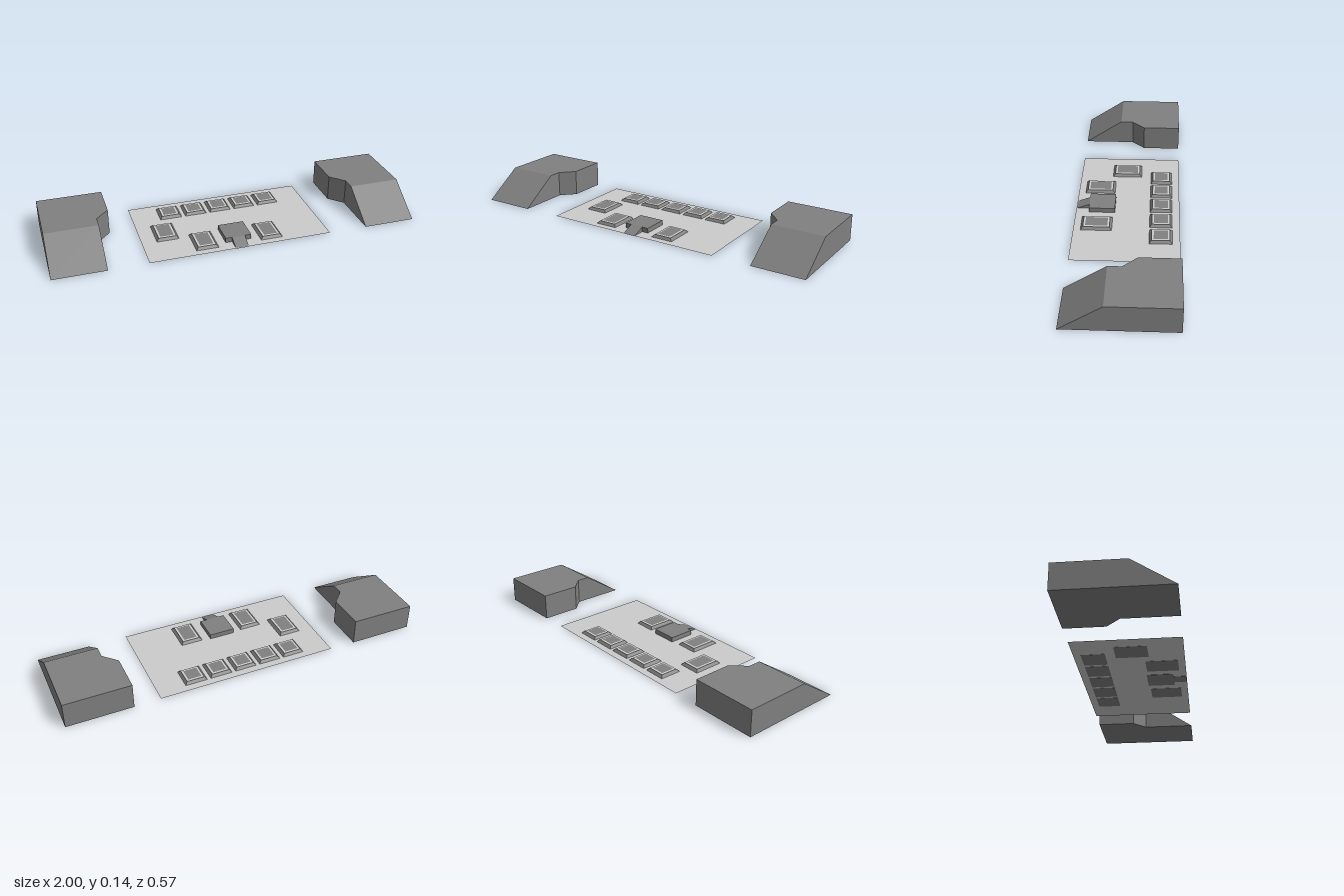
import * as THREE from 'three';

const dark = new THREE.MeshStandardMaterial({ color: 0x808080, flatShading: true });
const light = new THREE.MeshStandardMaterial({ color: 0xc0c0c0, side: THREE.DoubleSide });

function add(parent, name, geometry, material = dark) {
  const mesh = new THREE.Mesh(geometry, material);
  mesh.name = name;
  parent.add(mesh);
  return mesh;
}

// Upright prism from an [x, z] footprint
function prism(points, height) {
  const shape = new THREE.Shape(points.map(([x, z]) => new THREE.Vector2(x, -z)));
  return new THREE.ExtrudeGeometry(shape, { depth: height, bevelEnabled: false }).rotateX(-Math.PI / 2);
}

// Wedge falling from full height at z0 to the ground at z1
function wedge(x0, x1, z0, z1, height) {
  const shape = new THREE.Shape([
    new THREE.Vector2(-z1, 0), new THREE.Vector2(-z0, 0), new THREE.Vector2(-z0, height),
  ]);
  return new THREE.ExtrudeGeometry(shape, { depth: x1 - x0, bevelEnabled: false })
    .rotateY(Math.PI / 2).translate(x0, 0, 0);
}

// Box whose top is inset on all sides
function taperedSlab(w, d, h, inset) {
  const geometry = new THREE.BoxGeometry(w, h, d).translate(0, h / 2, 0);
  const p = geometry.attributes.position;
  for (let i = 0; i < p.count; i++) {
    if (p.getY(i) > h / 2) {
      p.setX(i, p.getX(i) - Math.sign(p.getX(i)) * inset);
      p.setZ(i, p.getZ(i) - Math.sign(p.getZ(i)) * inset);
    }
  }
  geometry.computeVertexNormals();
  return geometry;
}

// Flat rectangular outline
function outline(w, d, t) {
  const rect = (a, b) => [[-a, -b], [a, -b], [a, b], [-a, b]].map(([x, y]) => new THREE.Vector2(x, y));
  const shape = new THREE.Shape(rect(w / 2, d / 2));
  shape.holes.push(new THREE.Path(rect(w / 2 - t, d / 2 - t).reverse()));
  return new THREE.ShapeGeometry(shape).rotateX(-Math.PI / 2);
}

// Dark bevelled tile with a pale line inlaid on top
function tile(x, z, w, d) {
  const group = new THREE.Group();
  group.name = 'tile';
  add(group, 'tileSlab', taperedSlab(w, d, 0.015, 0.014));
  add(group, 'tileOutline', outline(w - 0.033, d - 0.033, 0.009), light).position.y = 0.0165;
  group.position.set(x, 0, z);
  return group;
}

export function createModel() {
  const model = new THREE.Group();
  model.name = 'boardLayout';

  // Floor sheet, just above the undersides of the tiles
  add(model, 'floor', new THREE.PlaneGeometry(1, 0.57).rotateX(-Math.PI / 2), light).position.y = 0.0015;

  // Side platforms with a chamfered inner corner and a front ramp
  for (const s of [1, -1]) {
    const side = new THREE.Group();
    side.name = s > 0 ? 'leftPlatform' : 'rightPlatform';
    const footprint = [[1, -0.286], [0.643, -0.286], [0.643, -0.073], [0.714, 0], [0.714, 0.071], [1, 0.071]];
    add(side, 'platformBlock', prism(footprint.map(([x, z]) => [s * x, z]), 0.143));
    add(side, 'platformRamp', wedge(s > 0 ? 0.714 : -1, s > 0 ? 1 : -0.714, 0.071, 0.286, 0.143));
    model.add(side);
  }

  // Back row of square tiles
  for (let i = -2; i <= 2; i++) model.add(tile(i * 0.143, -0.183, 0.125, 0.125));

  // Longer tiles at the side and either side of the centre block
  for (const [x, z] of [[-0.358, 0.016], [-0.179, 0.163], [0.179, 0.163]]) {
    model.add(tile(x, z, 0.125, 0.17));
  }

  // Centre block with its narrow ramp
  const centre = new THREE.Group();
  centre.name = 'centrePlatform';
  add(centre, 'centreBlock', new THREE.BoxGeometry(0.143, 0.028, 0.143).translate(0, 0.014, 0.142));
  add(centre, 'centreRamp', wedge(-0.036, 0.036, 0.2135, 0.285, 0.028));
  model.add(centre);

  return model;
}
